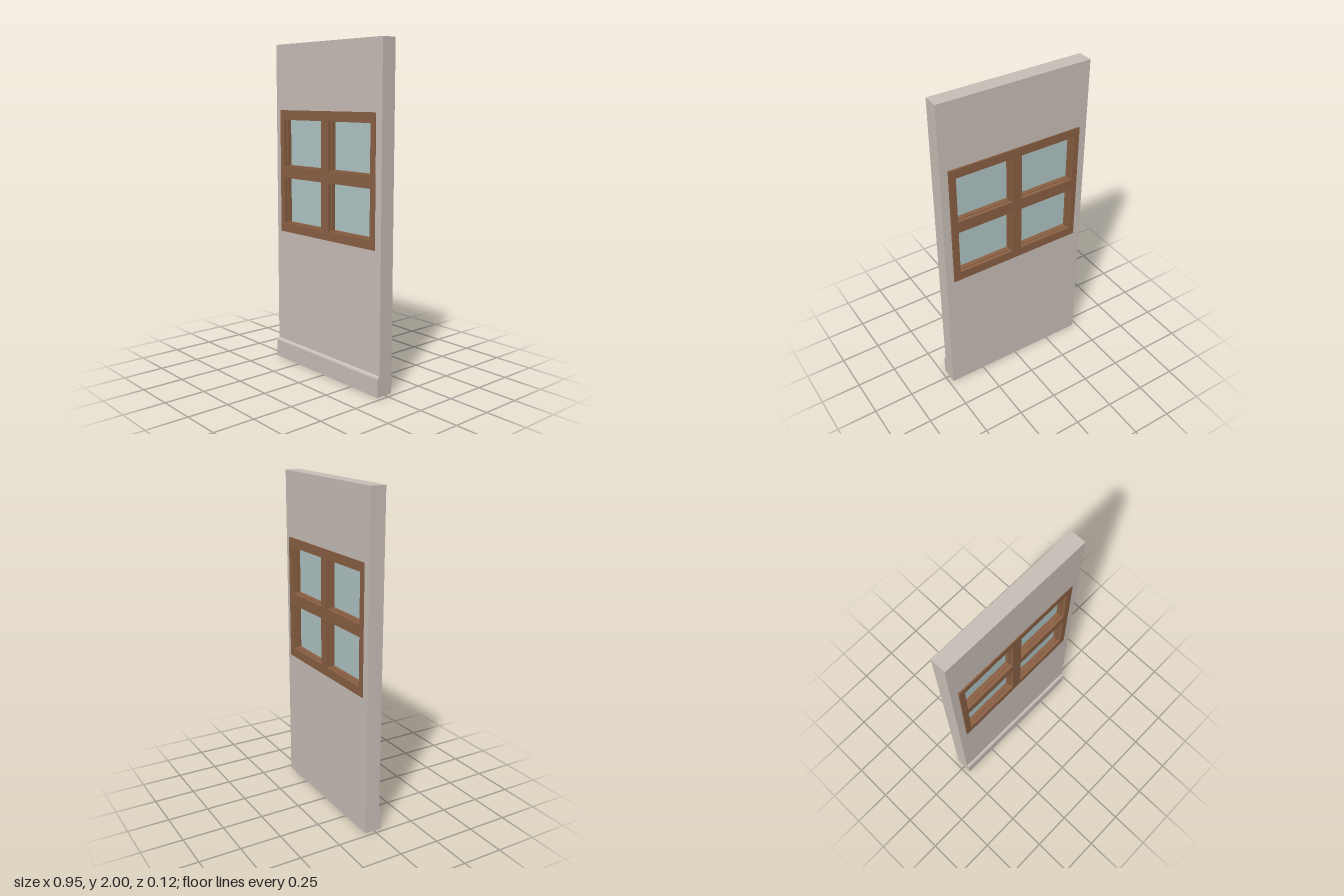
import * as THREE from 'three';

const mat = (name, color) => {
  const m = new THREE.MeshStandardMaterial({ color });
  m.name = name;
  return m;
};

const rect = (C, x0, y0, x1, y1) => {
  const p = new C();
  p.moveTo(x0, y0);
  p.lineTo(x1, y0);
  p.lineTo(x1, y1);
  p.lineTo(x0, y1);
  p.closePath();
  return p;
};

// Flat panel with rectangular holes, filling z0..z1
const panel = (outer, holes, z0, z1) => {
  const s = rect(THREE.Shape, ...outer);
  holes.forEach((h) => s.holes.push(rect(THREE.Path, ...h)));
  const g = new THREE.ExtrudeGeometry(s, { depth: z1 - z0, bevelEnabled: false });
  g.translate(0, 0, z0);
  return g;
};

export function createModel() {
  const model = new THREE.Group();
  model.name = 'wallPanelWithWindow';
  const plaster = mat('plaster', 0xc9beb7);
  const wood = mat('wood', 0x8a6043);
  const glass = mat('glass', 0xb0c5c5);

  const add = (parent, name, geometry, material) => {
    const mesh = new THREE.Mesh(geometry, material);
    mesh.name = name;
    parent.add(mesh);
    return mesh;
  };

  // Wall slab and skirting, turned very slightly about the vertical
  const wallGroup = new THREE.Group();
  wallGroup.name = 'wallGroup';
  wallGroup.rotation.y = -0.008;
  model.add(wallGroup);
  add(wallGroup, 'wall', panel([-0.474, 0, 0.474, 2], [[-0.41, 0.855, 0.41, 1.585]], -0.0545, 0.039), plaster);

  // Skirting profile (x = depth, y = height), extruded across the wall
  const profile = new THREE.Shape();
  [[0.038, 0], [0.056, 0], [0.056, 0.11], [0.051, 0.118], [0.039, 0.123], [0.038, 0.123]]
    .forEach(([x, y], i) => (i ? profile.lineTo(x, y) : profile.moveTo(x, y)));
  const skirting = new THREE.ExtrudeGeometry(profile, { depth: 0.948, bevelEnabled: false });
  skirting.rotateY(-Math.PI / 2);
  skirting.translate(0.474, 0, 0);
  add(wallGroup, 'skirting', skirting, plaster);

  // Window: main frame, stepped inner sash and four panes
  const windowGroup = new THREE.Group();
  windowGroup.name = 'window';
  model.add(windowGroup);
  const openings = [];
  for (const [x0, x1] of [[-0.389, -0.034], [0.03, 0.385]])
    for (const [y0, y1] of [[0.894, 1.182], [1.254, 1.545]]) openings.push([x0, y0, x1, y1]);
  const inset = openings.map(([x0, y0, x1, y1]) => [x0 + 0.008, y0 + 0.005, x1 - 0.008, y1 - 0.005]);
  add(windowGroup, 'windowFrame', panel([-0.426, 0.838, 0.426, 1.6], openings, -0.062, 0.045), wood);
  add(windowGroup, 'innerSash', panel([-0.4, 0.86, 0.4, 1.575], inset, -0.04, 0.023), wood);
  inset.forEach(([x0, y0, x1, y1], i) => {
    const pane = add(windowGroup, 'pane' + (i + 1), new THREE.BoxGeometry(x1 - x0, y1 - y0, 0.008), glass);
    pane.position.set((x0 + x1) / 2, (y0 + y1) / 2, -0.008);
  });

  return model;
}
